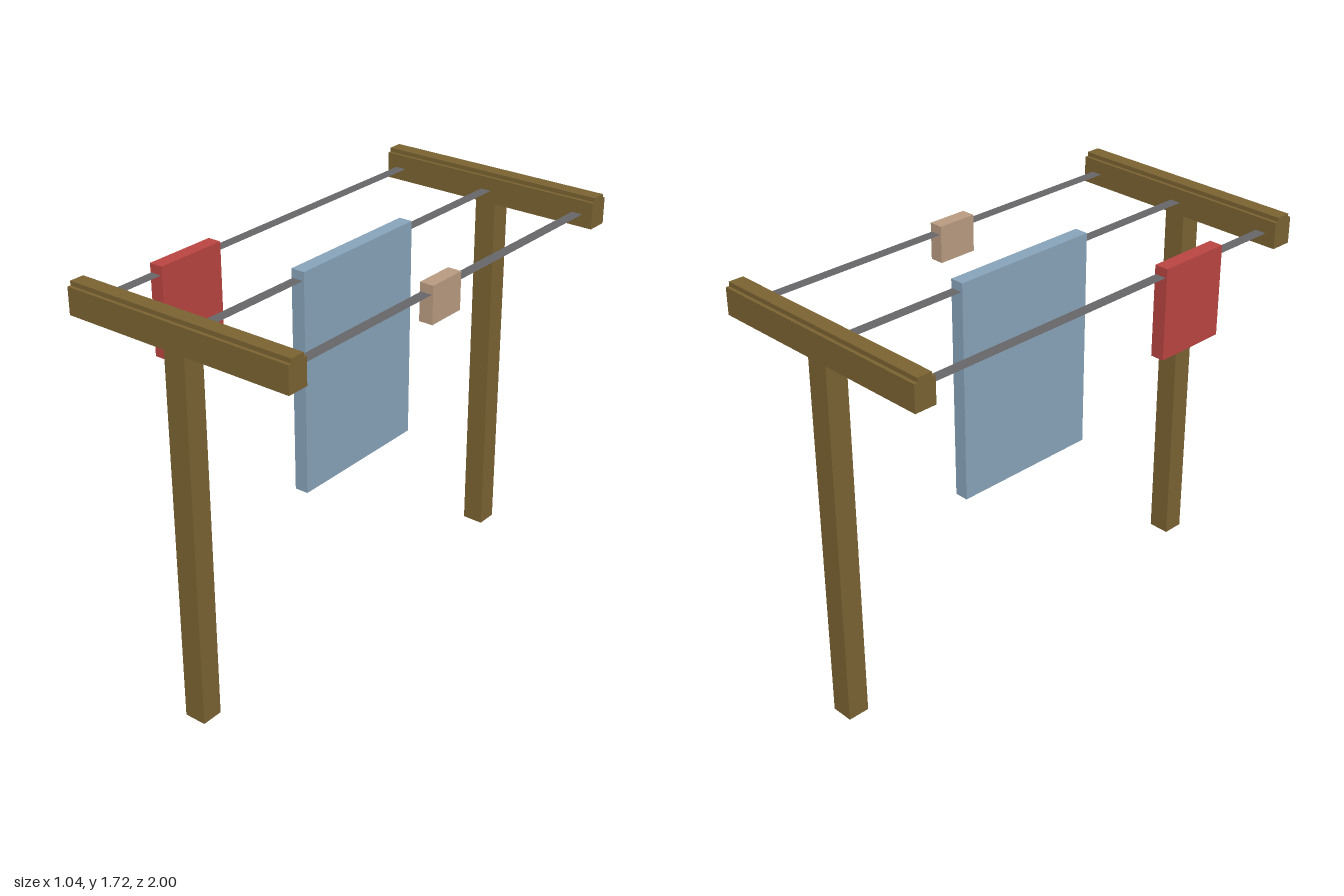
import * as THREE from 'three';

const material = (color) => new THREE.MeshStandardMaterial({ color, side: THREE.DoubleSide });

export function createModel() {
  const model = new THREE.Group();
  const wood = material(0x7a6232);
  const line = material(0x666468);

  // Box from its lower and upper limits on each axis
  function box(name, mat, [x0, x1], [y0, y1], [z0, z1], parent = model) {
    const mesh = new THREE.Mesh(new THREE.BoxGeometry(x1 - x0, y1 - y0, z1 - z0), mat);
    mesh.position.set((x0 + x1) / 2, (y0 + y1) / 2, (z0 + z1) / 2);
    mesh.name = name;
    parent.add(mesh);
  }

  // T-shaped supports: post, crossbeam and a narrow cap along its top
  for (const [name, s] of [['frontSupport', 1], ['backSupport', -1]]) {
    const support = new THREE.Group();
    support.name = name;
    support.position.z = s * 0.953;
    box('post', wood, [-0.048, 0.048], [0, 1.585], [-0.047, 0.047], support);
    box('crossbeam', wood, [-0.52, 0.52], [1.585, 1.697], [-0.047, 0.047], support);
    box('beamCap', wood, [-0.52, 0.52], [1.697, 1.715], [-0.032, 0.032], support);
    model.add(support);
  }

  // Flat clotheslines stretched between the crossbeams
  for (const [name, x] of [['rightLine', -0.45], ['middleLine', 0], ['leftLine', 0.45]]) {
    const strip = new THREE.Mesh(new THREE.PlaneGeometry(0.05, 1.814).rotateX(-Math.PI / 2), line);
    strip.position.set(x, 1.64, 0);
    strip.name = name;
    model.add(strip);
  }

  // Hanging laundry
  box('redTowel', material(0xb84440), [-0.48, -0.42], [1.29, 1.677], [0.3, 0.623]);
  box('blueSheet', material(0x86a2b8), [-0.03, 0.03], [0.73, 1.677], [-0.335, 0.335]);
  box('tanCloth', material(0xb89a80), [0.42, 0.48], [1.52, 1.677], [-0.035, 0.142]);

  return model;
}
